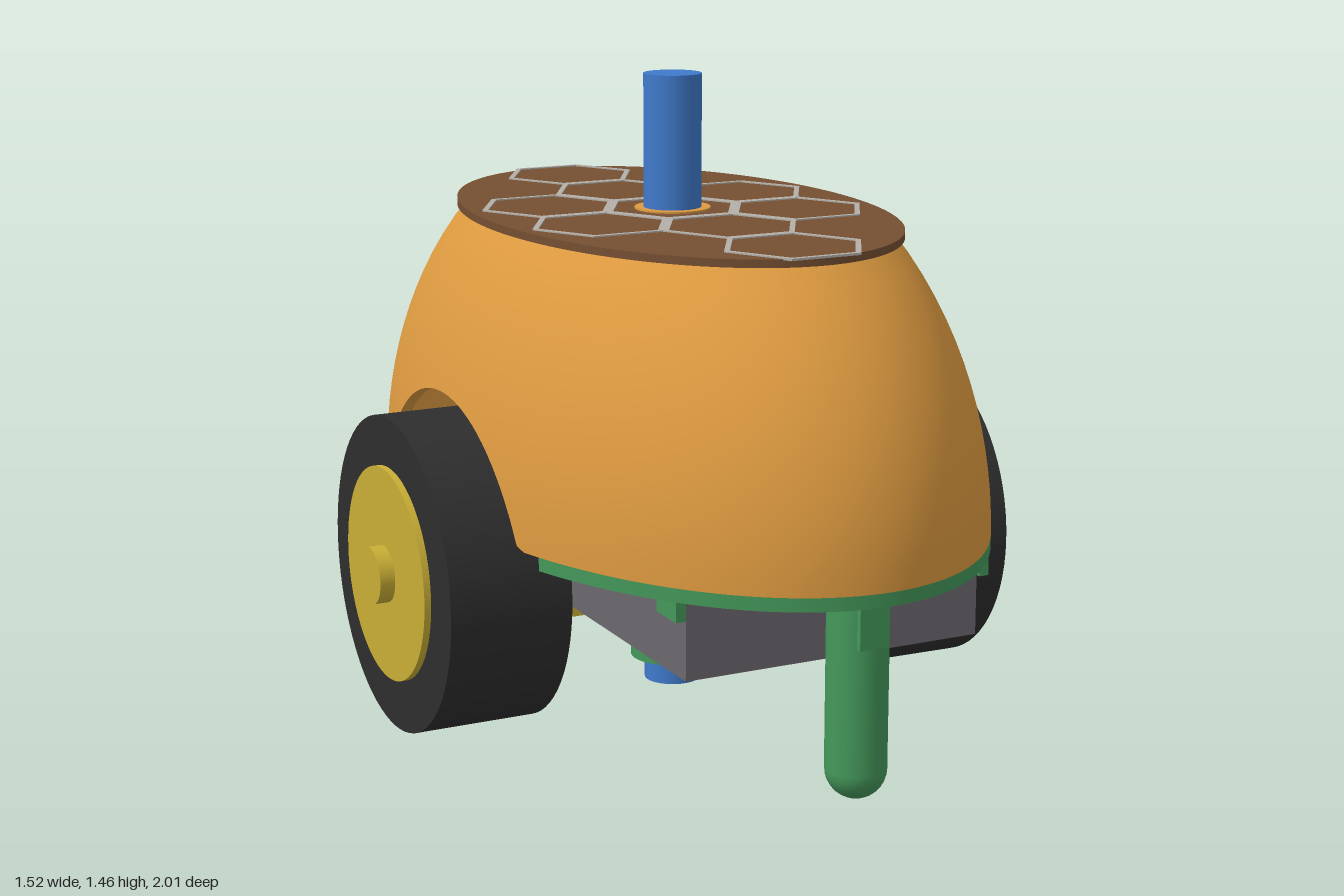
import * as THREE from 'three';
import { toCreasedNormals } from 'three/addons/utils/BufferGeometryUtils.js';

const mat = (name, color, side = THREE.FrontSide) => {
  const m = new THREE.MeshStandardMaterial({ color, side });
  m.name = name;
  return m;
};

export function createModel() {
  const M = {
    orange: mat('shellOrange', 0xdd9a40, THREE.DoubleSide),
    brown: mat('lidBrown', 0x754f32),
    green: mat('chassisGreen', 0x44985a),
    board: mat('circuitGreen', 0x3f7a5c),
    yellow: mat('motorYellow', 0xc9ae35),
    rubber: mat('tyreBlack', 0x2e2e2e),
    blue: mat('penBlue', 0x407acc),
    gray: mat('batteryGray', 0x6b686e),
    silver: mat('lineSilver', 0xb4b0a8),
    black: mat('panelBlack', 0x242526),
  };
  const root = new THREE.Group();
  root.name = 'roundRobot';

  const add = (name, geo, material, x = 0, y = 0, z = 0) => {
    const mesh = new THREE.Mesh(geo, material);
    mesh.name = name;
    mesh.position.set(x, y, z);
    root.add(mesh);
    return mesh;
  };
  // box and upright cylinder given by their limits
  const box = (name, m, x0, x1, y0, y1, z0, z1) =>
    add(name, new THREE.BoxGeometry(x1 - x0, y1 - y0, z1 - z0), m, (x0 + x1) / 2, (y0 + y1) / 2, (z0 + z1) / 2);
  const post = (name, m, r, y0, y1, z = 0) =>
    add(name, new THREE.CylinderGeometry(r, r, y1 - y0, 40), m, 0, (y0 + y1) / 2, z);
  // flat plate lying in the xz plane, extruded upward
  const plate = (name, m, shape, y, h, x = 0, z = 0) => {
    const g = new THREE.ExtrudeGeometry(shape, { depth: h, bevelEnabled: false, curveSegments: 64 });
    g.rotateX(-Math.PI / 2);
    return add(name, toCreasedNormals(g, 0.5), m, x, y, z);
  };
  const ellipse = (a, c) => new THREE.Shape().absellipse(0, 0, a, c, 0, Math.PI * 2);

  // Shell: ellipsoid band with wheel arches and a rear window
  const BASE = 0.5, TOP = 1.13, SILL = 0.68, HALF = 0.265, ARCH = 0.41, AXLE = 0.362;
  const shellPoint = (t, y, a, c, h) => {
    const f = Math.sqrt(1 - ((y - BASE) / h) ** 2);
    return [a * f * Math.sin(t), y, c * f * Math.cos(t)];
  };
  const firstY = (y0, y1, test) => { // lowest y that passes the test
    if (test(y0)) return y0;
    for (let k = 0; k < 24; k++) {
      const m = (y0 + y1) / 2;
      if (test(m)) y1 = m; else y0 = m;
    }
    return y1;
  };
  const shellColumn = (t, a, c, h, rows) => {
    const lo = firstY(BASE, 0.9, (y) => Math.hypot(shellPoint(t, y, a, c, h)[2], y - AXLE) >= ARCH);
    const hi = Math.cos(t) < 0
      ? firstY(SILL, TOP, (y) => Math.abs(shellPoint(t, y, a, c, h)[0]) <= HALF) : TOP;
    return Array.from({ length: rows + 1 }, (_, j) => shellPoint(t, lo + (hi - lo) * j / rows, a, c, h));
  };
  const COLS = 240, ROWS = 14, LOOP = 2 * (ROWS + 1);
  const pos = [], idx = [];
  for (let i = 0; i <= COLS; i++) {
    const t = (i / COLS) * Math.PI * 2;
    const outer = shellColumn(t, 0.61, 1, 0.88, ROWS);
    const inner = shellColumn(t, 0.582, 0.97, 0.855, ROWS).reverse();
    for (const p of [...outer, ...inner]) pos.push(...p);
    if (i === COLS) break;
    for (let j = 0; j < LOOP; j++) {
      const k = (j + 1) % LOOP, a = i * LOOP, b = a + LOOP;
      idx.push(a + j, b + j, b + k, a + j, b + k, a + k);
    }
  }
  const shellGeo = new THREE.BufferGeometry();
  shellGeo.setAttribute('position', new THREE.Float32BufferAttribute(pos, 3));
  shellGeo.setIndex(idx);
  add('shell', toCreasedNormals(shellGeo, 0.6), M.orange);

  // Base plate with wheel notches
  const basePts = [];
  for (let i = 0; i < 160; i++) {
    const t = (i / 160) * Math.PI * 2;
    const z = Math.cos(t), s = Math.sin(t);
    basePts.push(new THREE.Vector2(Math.abs(z) < 0.43 ? Math.sign(s) * 0.4 : 0.61 * s, z));
  }
  plate('basePlate', M.green, new THREE.Shape(basePts), 0.47, 0.03);

  // Lid, its lip and the hexagon pattern
  plate('lid', M.brown, ellipse(0.45, 0.718), 1.13, 0.018);
  const lip = ellipse(0.4, 0.675);
  lip.holes.push(new THREE.Path().absellipse(0, 0, 0.36, 0.635, 0, Math.PI * 2));
  plate('lidLip', M.brown, lip, 1.085, 0.046);
  const hexPoints = (r) => Array.from({ length: 6 }, (_, k) =>
    new THREE.Vector2(r * Math.cos(k * Math.PI / 3), r * Math.sin(k * Math.PI / 3)));
  const hexRing = new THREE.Shape(hexPoints(0.166));
  hexRing.holes.push(new THREE.Path(hexPoints(0.152)));
  const centres = [-2, -1, 0, 1, 2].map((k) => [0, k * 0.288]);
  for (const x of [-0.249, 0.249]) for (const z of [-0.144, 0.144]) centres.push([x, z]);
  for (const [x, z] of centres) plate('hexOutline', M.silver, hexRing, 1.146, 0.005, x, z);

  // Pen, its guide and collars
  post('pen', M.blue, 0.067, 0.012, 1.46);
  post('penGuide', M.green, 0.1, 0.07, 0.49);
  post('lidCollar', M.orange, 0.088, 1.1, 1.152);
  post('penCollar', M.orange, 0.11, 0.72, 0.75);

  // Support legs with rounded feet
  for (const s of [1, -1]) {
    post('leg', M.green, 0.067, 0.078, 0.48, s * 0.87);
    add('foot', new THREE.SphereGeometry(0.067, 32, 16), M.green, 0, 0.079, s * 0.87);
    box('legClip', M.green, -0.035, 0.035, 0.36, 0.475, s * 0.905 - 0.035, s * 0.905 + 0.035);
  }
  post('rearScrew', M.silver, 0.085, 0.49, 0.515, -0.92);

  // Wheels, motors and their brackets
  const disc = (r, w) => new THREE.CylinderGeometry(r, r, w, 72).rotateZ(Math.PI / 2);
  for (const s of [1, -1]) {
    const right = s > 0;
    const tyre = add('tyre', disc(AXLE, 0.285), M.rubber, right ? 0.555 : -0.567, AXLE, right ? 0.022 : 0);
    if (right) tyre.rotation.y = -0.028;
    add('hub', disc(0.245, 0.06), M.yellow, s * 0.695, 0.365, 0);
    add('axle', disc(0.065, 0.4), M.yellow, s * 0.56, 0.365, 0);
    const sideBox = (name, m, a, b, ...rest) =>
      box(name, m, Math.min(s * a, s * b), Math.max(s * a, s * b), ...rest);
    sideBox('motor', M.yellow, 0.13, 0.385, 0.26, 0.47, -0.645, 0.18);
    sideBox('innerBracket', M.green, 0.095, 0.13, 0.26, 0.475, -0.65, 0.18);
    sideBox('outerBracket', M.green, 0.385, 0.415, 0.26, 0.5, -0.655, 0.18);
    sideBox('batteryClip', M.green, 0.357, 0.38, 0.425, 0.475, 0.69, 0.78);
  }

  // Battery under the nose
  box('battery', M.gray, -0.357, 0.35, 0.295, 0.47, 0.2, 0.78);

  // Parts inside the shell
  box('circuitBoard', M.board, -0.27, 0.27, 0.6, 0.62, -0.73, -0.25);
  box('rearPanel', M.black, -0.27, 0.2, 0.62, 1.11, -0.62, -0.6);
  box('innerPanel', M.black, -0.27, 0.27, 0.62, 1.06, -0.52, -0.5);
  box('innerBlock', M.blue, -0.25, 0.25, 0.5, 0.64, 0.27, 0.42);
  for (const [x, y] of [[0, 1.05], [-0.06, 1.06], [-0.12, 1.05], [0, 0.94], [-0.05, 0.88], [-0.1, 0.88], [-0.15, 0.9], [-0.15, 0.98]])
    box('panelContact', M.orange, x - 0.014, x + 0.014, y - 0.02, y + 0.02, -0.625, -0.619);

  return root;
}
